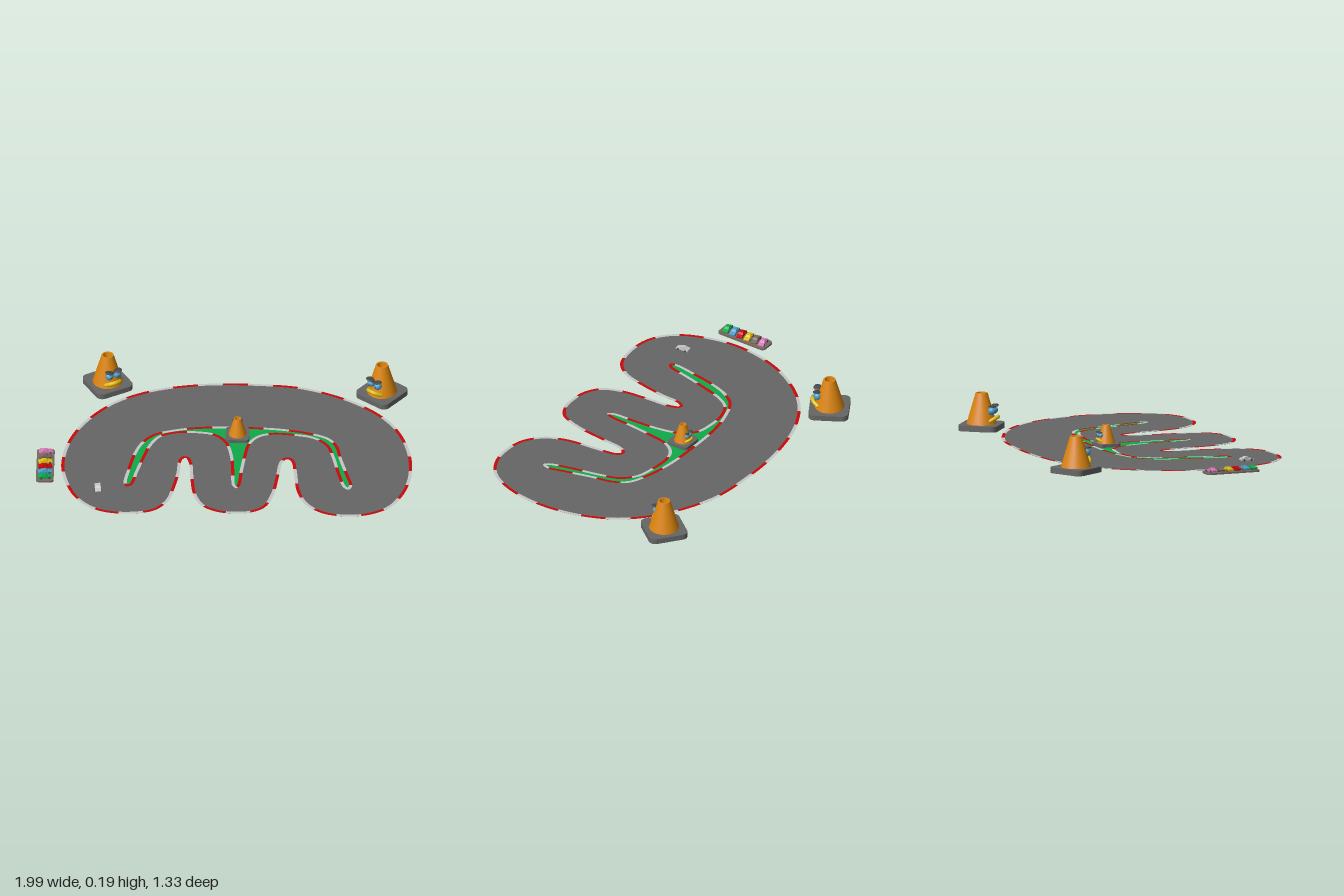
import * as THREE from 'three';
import { mergeGeometries } from 'three/addons/utils/BufferGeometryUtils.js';

const mat = (name, color, side = THREE.FrontSide) => {
  const m = new THREE.MeshStandardMaterial({ color, side });
  m.name = name;
  return m;
};
const M = {
  asphalt: mat('asphalt grey', 0x666666, THREE.DoubleSide),
  orange: mat('cone orange', 0xdc850f, THREE.DoubleSide),
  green: mat('grass green', 0x0faa4b, THREE.DoubleSide),
  red: mat('curb red', 0xc80808, THREE.DoubleSide),
  white: mat('curb white', 0xc6c6c6, THREE.DoubleSide),
  blue: mat('eye blue', 0x4a9fd0),
  yellow: mat('mouth yellow', 0xe0be10),
  pink: mat('pink', 0xd878b8),
  brown: mat('stand brown', 0x766860),
  dark: mat('dark grey', 0x484848),
};

function add(parent, name, geometry, material, x = 0, y = 0, z = 0) {
  const mesh = new THREE.Mesh(geometry, material);
  mesh.name = name;
  mesh.position.set(x, y, z);
  parent.add(mesh);
  return mesh;
}

// Outlines as x, z pairs, clockwise seen from above
const OUTER = [
  -0.03, -0.56, 0.12, -0.56, 0.4, -0.53, 0.68, -0.4, 0.86, -0.23, 0.955, -0.03, 0.99, 0.19,
  0.965, 0.4, 0.885, 0.56, 0.78, 0.63, 0.67, 0.65, 0.54, 0.63, 0.44, 0.55, 0.39, 0.43,
  0.367, 0.24, 0.352, 0.15, 0.33, 0.127, 0.305, 0.155, 0.287, 0.29, 0.265, 0.455, 0.218, 0.58,
  0.137, 0.63, 0.06, 0.637, -0.03, 0.625, -0.114, 0.57, -0.16, 0.465, -0.178, 0.32,
  -0.19, 0.175, -0.21, 0.128, -0.23, 0.15, -0.24, 0.27, -0.26, 0.4, -0.295, 0.535,
  -0.365, 0.62, -0.48, 0.652, -0.61, 0.645, -0.7, 0.605, -0.78, 0.52, -0.84, 0.375,
  -0.865, 0.21, -0.836, 0, -0.755, -0.187, -0.6, -0.375, -0.4, -0.49, -0.18, -0.545,
];
const ISLAND = [
  0.06, -0.16, 0.27, -0.15, 0.43, -0.118, 0.54, -0.07, 0.59, 0, 0.62, 0.135, 0.655, 0.27,
  0.677, 0.365, 0.66, 0.405, 0.635, 0.385, 0.6, 0.27, 0.565, 0.107, 0.53, 0, 0.46, -0.064,
  0.35, -0.09, 0.245, -0.096, 0.175, -0.07, 0.13, -0.005, 0.11, 0.107, 0.095, 0.24,
  0.084, 0.375, 0.068, 0.405, 0.047, 0.385, 0.036, 0.24, 0.025, 0.107, -0.007, -0.016,
  -0.066, -0.08, -0.157, -0.1, -0.264, -0.096, -0.345, -0.06, -0.39, 0.01, -0.424, 0.123,
  -0.46, 0.267, -0.488, 0.385, -0.515, 0.405, -0.53, 0.375, -0.515, 0.25, -0.488, 0.107,
  -0.45, 0, -0.387, -0.08, -0.264, -0.13, -0.13, -0.155,
];
function outline(pairs) {
  const pts = [];
  for (let i = 0; i < pairs.length; i += 2) pts.push(new THREE.Vector3(pairs[i], 0, pairs[i + 1]));
  const curve = new THREE.CatmullRomCurve3(pts, true);
  curve.arcLengthDivisions = 1000;
  return curve;
}
const flat = (curve) => curve.getSpacedPoints(400).slice(0, -1).map((p) => new THREE.Vector2(p.x, -p.z));

// Alternating red and white flat strips just inside an outline
function curbs(parent, name, curve, y, width) {
  const dashes = 2 * Math.round(curve.getLength() / 0.265), steps = 12;
  const parts = [[], []];
  for (let d = 0; d < dashes; d++) {
    const pos = [], index = [];
    for (let s = 0; s <= steps; s++) {
      const u = ((d + s / steps) / dashes) % 1;
      const p = curve.getPointAt(u), t = curve.getTangentAt(u);
      for (const o of [-0.002, width]) pos.push(p.x - t.z * o, y, p.z + t.x * o);
      const a = s * 2;
      if (s < steps) index.push(a, a + 1, a + 2, a + 1, a + 3, a + 2);
    }
    const g = new THREE.BufferGeometry();
    g.setAttribute('position', new THREE.Float32BufferAttribute(pos, 3));
    g.setIndex(index);
    g.computeVertexNormals();
    parts[d % 2].push(g);
  }
  add(parent, name + ' red', mergeGeometries(parts[0]), M.red);
  add(parent, name + ' white', mergeGeometries(parts[1]), M.white);
}

function roundedPlate(w, d, h, r) {
  const s = new THREE.Shape(), x = w / 2, y = d / 2;
  s.absarc(x - r, y - r, r, 0, Math.PI / 2);
  s.absarc(r - x, y - r, r, Math.PI / 2, Math.PI);
  s.absarc(r - x, r - y, r, Math.PI, Math.PI * 1.5);
  s.absarc(x - r, r - y, r, Math.PI * 1.5, Math.PI * 2);
  return new THREE.ExtrudeGeometry(s, { depth: h, bevelEnabled: false, curveSegments: 8 }).rotateX(-Math.PI / 2);
}

// Traffic cone with a grumpy face looking along +z
function trafficCone(name) {
  const g = new THREE.Group();
  g.name = name;
  add(g, 'coneBase', roundedPlate(0.212, 0.212, 0.03, 0.035), M.asphalt);
  const side = (a, b) => new THREE.LatheGeometry([a, b].map((p) => new THREE.Vector2(...p)), 32);
  add(g, 'coneBody', mergeGeometries([
    side([0.08, 0.03], [0.032, 0.195]), side([0.032, 0.195], [0.024, 0.195]),
    side([0.024, 0.195], [0.02, 0.16]), side([0.02, 0.16], [0, 0.16]),
  ]), M.orange);
  for (const s of [-1, 1]) {
    const ball = new THREE.SphereGeometry(0.021, 20, 14);
    add(g, 'eye', ball, M.blue, s * 0.023, 0.102, 0.062);
    add(g, 'pupil', new THREE.SphereGeometry(0.006, 10, 8), M.dark, s * 0.021, 0.102, 0.079);
    const brow = add(g, 'brow', new THREE.SphereGeometry(0.025, 20, 10), M.dark, s * 0.024, 0.126, 0.066);
    brow.scale.set(1, 0.22, 0.85);
    brow.rotation.z = s * 0.2;
  }
  const lip = new THREE.CatmullRomCurve3([
    [-0.042, 0.05, 0.06], [-0.024, 0.064, 0.082], [0, 0.069, 0.089], [0.024, 0.064, 0.082], [0.042, 0.05, 0.06],
  ].map((p) => new THREE.Vector3(...p)));
  add(g, 'mouth', new THREE.TubeGeometry(lip, 20, 0.011, 10), M.yellow);
  for (const s of [-1, 1]) add(g, 'mouthCorner', new THREE.SphereGeometry(0.011, 10, 8), M.yellow, s * 0.042, 0.05, 0.06);
  return g;
}

// Little car, nose along +z
function car(name, paint) {
  const g = new THREE.Group();
  g.name = name;
  const extrude = (pts, w) => new THREE.ExtrudeGeometry(
    new THREE.Shape(pts.map((p) => new THREE.Vector2(...p))), { depth: w, bevelEnabled: false },
  ).translate(0, 0, -w / 2).rotateY(-Math.PI / 2);
  add(g, 'carBody', extrude([[-0.036, 0.004], [0.036, 0.004], [0.037, 0.009], [0.02, 0.014], [-0.03, 0.016], [-0.037, 0.012]], 0.032), paint);
  add(g, 'carCabin', extrude([[-0.027, 0.014], [0.017, 0.013], [0.004, 0.022], [-0.014, 0.023]], 0.025), paint);
  for (const x of [-0.014, 0.014]) for (const z of [-0.022, 0.022]) {
    add(g, 'wheel', new THREE.CylinderGeometry(0.006, 0.006, 0.007, 12).rotateZ(Math.PI / 2), M.dark, x, 0.006, z);
  }
  return g;
}

export function createModel() {
  const root = new THREE.Group();
  root.name = 'raceTrack';
  const outer = outline(OUTER), island = outline(ISLAND);

  // Asphalt with the grass island set into it
  const road = new THREE.Shape(flat(outer));
  road.holes.push(new THREE.Path(flat(island)));
  add(root, 'asphalt', new THREE.ShapeGeometry(road).rotateX(-Math.PI / 2), M.asphalt, 0, 0.003, 0);
  add(root, 'grassIsland', new THREE.ShapeGeometry(new THREE.Shape(flat(island))).rotateX(-Math.PI / 2), M.green, 0, 0.003, 0);
  curbs(root, 'outerCurb', outer, 0.005, 0.015);
  curbs(root, 'islandCurb', island, 0.005, 0.015);

  // Cones: x, y, z, yaw in degrees, scale
  for (const [name, x, y, z, yaw, scale] of [
    ['rightCone', -0.64, 0, -0.538, 30, 1],
    ['leftCone', 0.815, 0, -0.483, -38, 1],
    ['middleCone', 0.06, 0.002, -0.079, 180, 0.59],
  ]) {
    const c = trafficCone(name);
    c.position.set(x, y, z);
    c.rotation.y = THREE.MathUtils.degToRad(yaw);
    c.scale.setScalar(scale);
    root.add(c);
  }

  // Parked cars on their stand
  add(root, 'carStand', roundedPlate(0.094, 0.3, 0.009, 0.02), M.brown, -0.951, 0, 0.222);
  [M.pink, M.brown, M.yellow, M.red, M.blue, M.green].forEach((paint, i) => {
    const c = car('parkedCar', paint);
    c.position.set(-0.951, 0.009, 0.108 + i * 0.046);
    c.rotation.y = Math.PI / 2 + 0.2;
    root.add(c);
  });

  // Car on the road
  const racer = car('racingCar', M.white);
  racer.position.set(-0.668, 0.004, 0.427);
  racer.rotation.y = 0.08;
  root.add(racer);
  return root;
}
